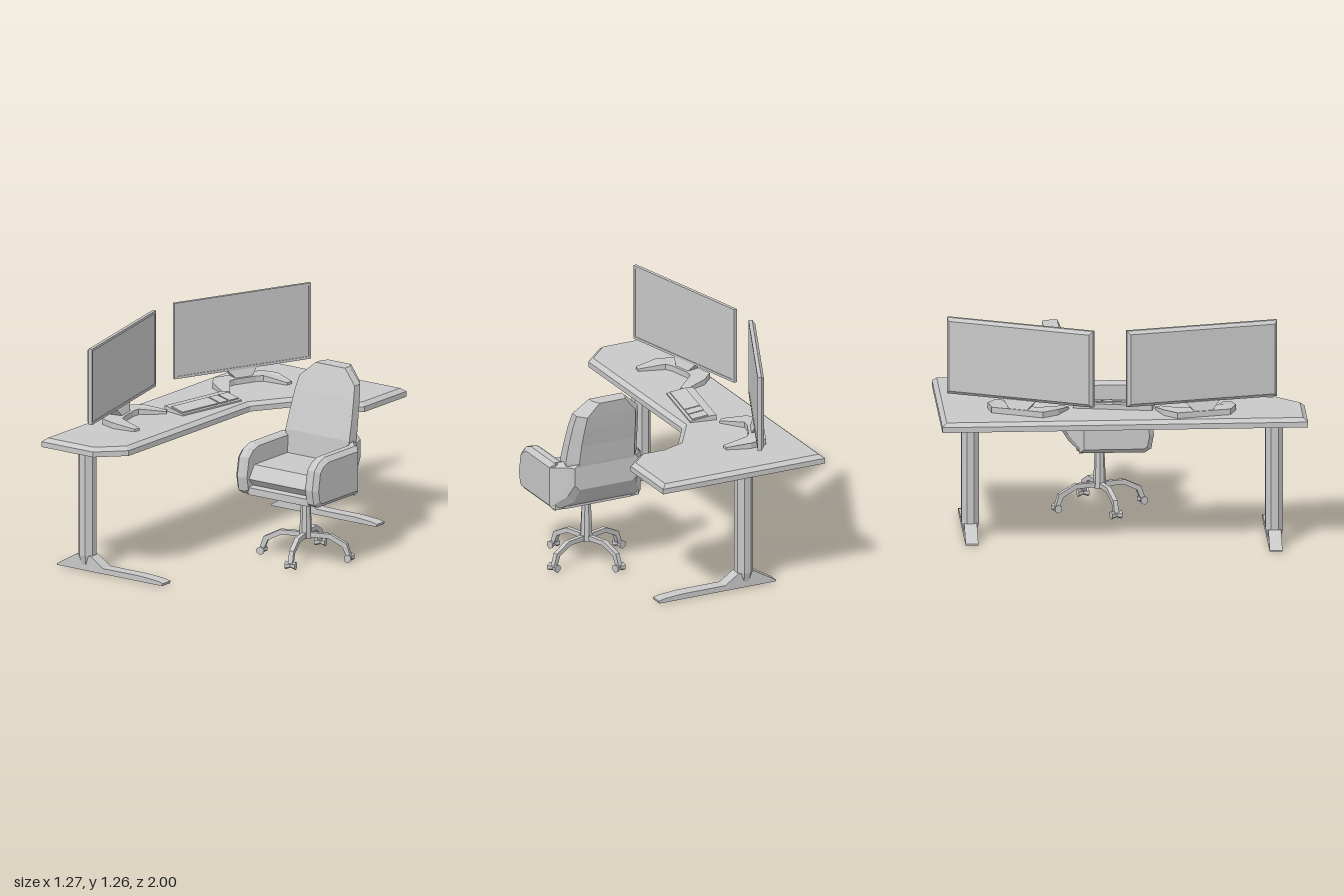
import * as THREE from 'three';

const grey = new THREE.MeshStandardMaterial({ color: 0xc8c8c8 });
grey.name = 'plain grey';

// Lofts 2D rings of equal length along an axis: 'y' rings are (x,z), 'z' rings (x,y), 'x' rings (z,y)
function loft(axis, rings, heights) {
  const map = { y: (a, b, h) => [a, h, b], z: (a, b, h) => [a, b, h], x: (a, b, h) => [h, b, a] }[axis];
  const vec = rings.map(r => r.map(p => new THREE.Vector2(p[0], p[1])));
  if (THREE.ShapeUtils.isClockWise(vec[0])) vec.forEach(r => r.reverse());
  const out = [], n = vec[0].length, last = vec.length - 1;
  const tri = (...c) => {
    if (axis !== 'z') c.reverse();
    c.forEach(([k, i]) => out.push(...map(vec[k][i].x, vec[k][i].y, heights[k])));
  };
  for (let k = 0; k < last; k++) for (let i = 0; i < n; i++) {
    const j = (i + 1) % n;
    tri([k, i], [k, j], [k + 1, j]);
    tri([k, i], [k + 1, j], [k + 1, i]);
  }
  THREE.ShapeUtils.triangulateShape(vec[0], []).forEach(([a, b, c]) => tri([0, c], [0, b], [0, a]));
  THREE.ShapeUtils.triangulateShape(vec[last], []).forEach(([a, b, c]) => tri([last, a], [last, b], [last, c]));
  const g = new THREE.BufferGeometry();
  g.setAttribute('position', new THREE.Float32BufferAttribute(out, 3));
  g.computeVertexNormals();
  return g;
}

// Moves every edge of a polygon inwards by d
function inset(ring, d) {
  const s = THREE.ShapeUtils.area(ring.map(p => new THREE.Vector2(...p))) > 0 ? 1 : -1;
  const normal = (p, q) => {
    const l = Math.hypot(q[0] - p[0], q[1] - p[1]);
    return [-s * (q[1] - p[1]) / l, s * (q[0] - p[0]) / l];
  };
  return ring.map((p, i) => {
    const n = ring.length, a = normal(ring[(i + n - 1) % n], p), b = normal(p, ring[(i + 1) % n]);
    const k = d / (1 + a[0] * b[0] + a[1] * b[1]);
    return [p[0] + (a[0] + b[0]) * k, p[1] + (a[1] + b[1]) * k];
  });
}

const rect = (a0, a1, b0, b1) => [[a0, b0], [a1, b0], [a1, b1], [a0, b1]];

function add(parent, name, geometry, x = 0, y = 0, z = 0) {
  const flat = geometry.index ? geometry.toNonIndexed() : geometry;
  flat.computeVertexNormals();
  const m = new THREE.Mesh(flat, grey);
  m.name = name;
  m.position.set(x, y, z);
  parent.add(m);
  return m;
}

function group(parent, name, x = 0, y = 0, z = 0, turn = 0) {
  const g = new THREE.Group();
  g.name = name;
  g.position.set(x, y, z);
  g.rotation.y = turn;
  parent.add(g);
  return g;
}

function buildDesk(root) {
  const desk = group(root, 'desk');
  const outline = [[-0.64, -1], [0.355, -1], [0.355, -0.615], [0.245, -0.505], [0.105, -0.505],
    [-0.015, -0.46], [-0.15, -0.25], [-0.15, 0.86], [-0.29, 1], [-0.64, 1]];
  add(desk, 'deskTop', loft('y', [outline, outline, inset(outline, 0.025)], [0.705, 0.735, 0.755]));
  for (const [x, z] of [[-0.457, 0.825], [-0.23, -0.825]]) {
    const leg = group(desk, 'deskLeg', x, 0, z);
    add(leg, 'column', new THREE.CylinderGeometry(0.052, 0.052, 0.615, 8), 0, 0.3975, 0).rotation.y = Math.PI / 8;
    add(leg, 'columnFlare', new THREE.CylinderGeometry(0.052, 0.036, 0.06, 8), 0, 0.06, 0).rotation.y = Math.PI / 8;
    const foot = [[-0.183, 0.005], [0.535, 0.005], [0.54, 0.02], [0.5, 0.028], [0.39, 0.036],
      [0.13, 0.036], [0.05, 0.09], [-0.05, 0.09], [-0.15, 0.032], [-0.183, 0.012]];
    add(leg, 'foot', loft('z', [foot, foot], [-0.035, 0.035]));
  }
}

function buildMonitor(root, x, z, turn) {
  const monitor = group(root, 'monitor', x, 0, z, turn);
  // Panel with a chamfered back and a recessed screen
  const full = rect(-0.427, 0.427, 0.83, 1.26), screen = inset(full, 0.014);
  add(monitor, 'panel', loft('x', [inset(full, 0.018), full, full, screen, screen],
    [-0.02, -0.004, 0.016, 0.016, 0.012]));
  // Spreading base with two forward arms
  const half = [[-0.045, 0.15], [0.04, 0.205], [0.175, 0.217], [0.19, 0.18], [0.057, 0.105], [0.045, 0.065]];
  const base = [...half, ...half.map(([a, b]) => [a, -b]).reverse()];
  const g = loft('y', [base, base], [0.756, 0.788]), p = g.attributes.position;
  for (let i = 0; i < p.count; i++) if (p.getY(i) > 0.77 && p.getX(i) > 0.1) p.setY(i, 0.77);
  add(monitor, 'standBase', g);
  add(monitor, 'standNeck', loft('y', [rect(-0.04, 0.03, -0.05, 0.05), rect(-0.018, 0.008, -0.095, 0.095)],
    [0.785, 0.836]));
}

function buildKeyboard(root) {
  const keyboard = group(root, 'keyboard', -0.317, 0, -0.042, -0.18);
  const side = [[-0.075, 0.756], [0.075, 0.756], [0.075, 0.764], [-0.045, 0.784], [-0.075, 0.784]];
  add(keyboard, 'keyboardBody', loft('z', [side, side], [-0.218, 0.218]));
  const keys = group(keyboard, 'keys', 0.015, 0.775, 0);
  keys.rotation.z = -0.165;
  for (const [z0, z1, w] of [[-0.21, -0.14, 0.09], [-0.132, -0.07, 0.09], [-0.062, 0.208, 0.09]])
    add(keys, 'keyBlock', new THREE.BoxGeometry(w, 0.008, z1 - z0), 0, 0.002, (z0 + z1) / 2);
}

function buildChair(root) {
  const chair = group(root, 'officeChair', 0.352, 0, 0);

  // Seat cushion with an undercut front, and the pan beneath it
  const seat = [[-0.22, 0.54], [0.12, 0.54], [0.17, 0.468], [0.135, 0.427], [0.17, 0.42], [0.17, 0.38], [-0.22, 0.38]];
  add(chair, 'seat', loft('x', [seat, seat], [-0.205, 0.205]));
  add(chair, 'seatPan', loft('y', [rect(-0.1, 0.1, -0.155, 0.06), rect(-0.215, 0.215, -0.22, 0.17)], [0.355, 0.381]));

  // Padded armrests with bevelled sides
  const arm = [[-0.21, 0.65], [0.085, 0.65], [0.14, 0.63], [0.18, 0.59], [0.2, 0.48], [0.185, 0.4], [0.15, 0.378], [-0.21, 0.378]];
  for (const s of [-1, 1]) {
    const xs = [0.198, 0.218, 0.255, 0.28].map(v => v * s);
    const rings = [inset(arm, 0.012), arm, arm, inset(arm, 0.025)];
    if (s < 0) { xs.reverse(); rings.reverse(); }
    add(chair, 'armrest', loft('x', rings, xs));
  }

  // Rear shell drawing the armrests in to the backrest
  const shell = (w, y0, y1, c) => [[-w + c, y0], [w - c, y0], [w, y0 + c], [w, y1 - c], [w - c, y1], [-w + c, y1], [-w, y1 - c], [-w, y0 + c]];
  add(chair, 'rearShell', loft('z', [shell(0.195, 0.52, 0.68, 0.03), shell(0.21, 0.43, 0.68, 0.04),
    shell(0.278, 0.37, 0.65, 0.025)], [-0.322, -0.265, -0.19]));

  // Backrest, leaning back, chamfered at the rear: height, half width, front z, rear z
  const rows = [[0.5, 0.19, -0.18, -0.29], [0.67, 0.217, -0.19, -0.325], [0.78, 0.21, -0.222, -0.342],
    [0.885, 0.2, -0.252, -0.365], [0.96, 0.188, -0.278, -0.38], [1.04, 0.1, -0.308, -0.393]];
  add(chair, 'backrest', loft('y', rows.map(([, w, f, r]) =>
    [[-w, f], [w, f], [w, (f + r) / 2], [w * 0.78, r], [-w * 0.78, r], [-w, (f + r) / 2]]), rows.map(r => r[0])));

  // Swivel base with four arched legs on double casters
  const swivel = group(chair, 'swivelBase', 0, 0, -0.083);
  add(swivel, 'post', new THREE.CylinderGeometry(0.025, 0.036, 0.25, 8), 0, 0.24, 0);
  const legSide = [[0, 0.12], [0.135, 0.122], [0.215, 0.082], [0.235, 0.035], [0.262, 0.035],
    [0.24, 0.1], [0.145, 0.148], [0, 0.148]];
  for (let i = 0; i < 4; i++) {
    const leg = group(swivel, 'baseLeg', 0, 0, 0, -1.26 + i * Math.PI / 2);
    add(leg, 'legArch', loft('z', [legSide, legSide], [-0.013, 0.013]));
    for (const s of [-1, 1]) {
      const wheel = new THREE.CylinderGeometry(s > 0 ? 0.024 : 0.013, s > 0 ? 0.013 : 0.024, 0.03, 6);
      add(leg, 'casterWheel', wheel, 0.252, 0.0225, 0.015 * s).rotation.x = Math.PI / 2;
    }
  }
}

export function createModel() {
  const root = new THREE.Group();
  root.name = 'workstation';
  buildDesk(root);
  buildMonitor(root, -0.443, -0.563, -0.42);
  buildMonitor(root, -0.525, 0.425, 0.219);
  buildKeyboard(root);
  buildChair(root);
  return root;
}
